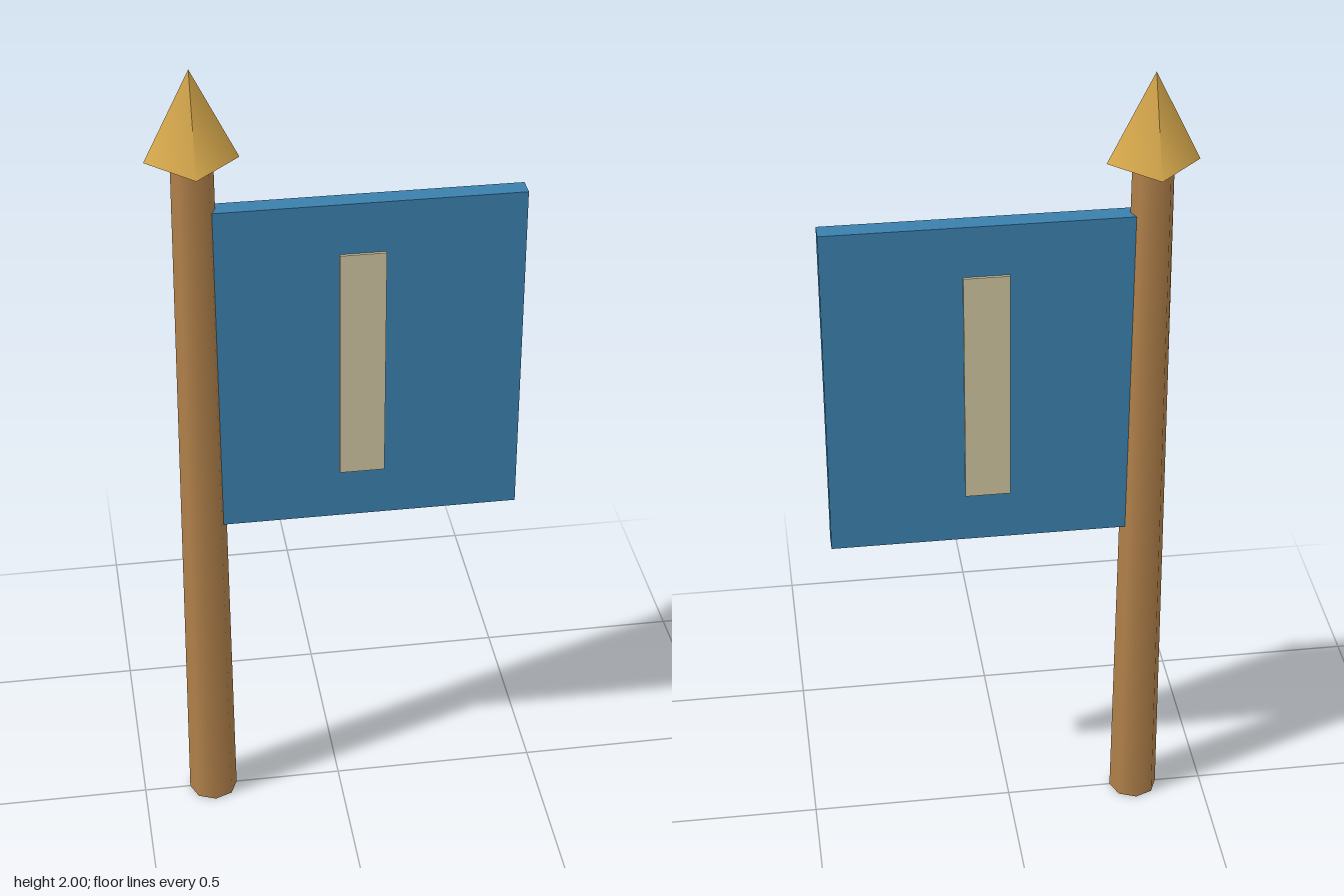
import * as THREE from 'three';

const POLE_X = -0.325;

export function createModel() {
  const model = new THREE.Group();
  model.name = 'flagOnPole';

  const add = (name, geometry, color, x, y) => {
    const mesh = new THREE.Mesh(geometry, new THREE.MeshStandardMaterial({ color }));
    mesh.name = name;
    mesh.position.set(x, y, 0);
    model.add(mesh);
  };

  // Tapered wooden pole with a four-sided pointed tip
  const poleHeight = 1.777;
  add('pole', new THREE.CylinderGeometry(0.048, 0.06, poleHeight, 8), 0xb0804a, POLE_X, poleHeight / 2);
  add('poleTip', new THREE.ConeGeometry(0.106, 0.215, 4), 0xd9aa4c, POLE_X, 2 - 0.215 / 2);

  // Stiff banner starting at the pole axis
  add('banner', new THREE.BoxGeometry(0.755, 0.837, 0.048), 0x3a80ad, 0.0525, 1.243);

  // Pale stripe standing slightly proud of both banner faces
  add('stripe', new THREE.BoxGeometry(0.107, 0.585, 0.062), 0xcfc4a0, 0.0535, 1.243);

  return model;
}
